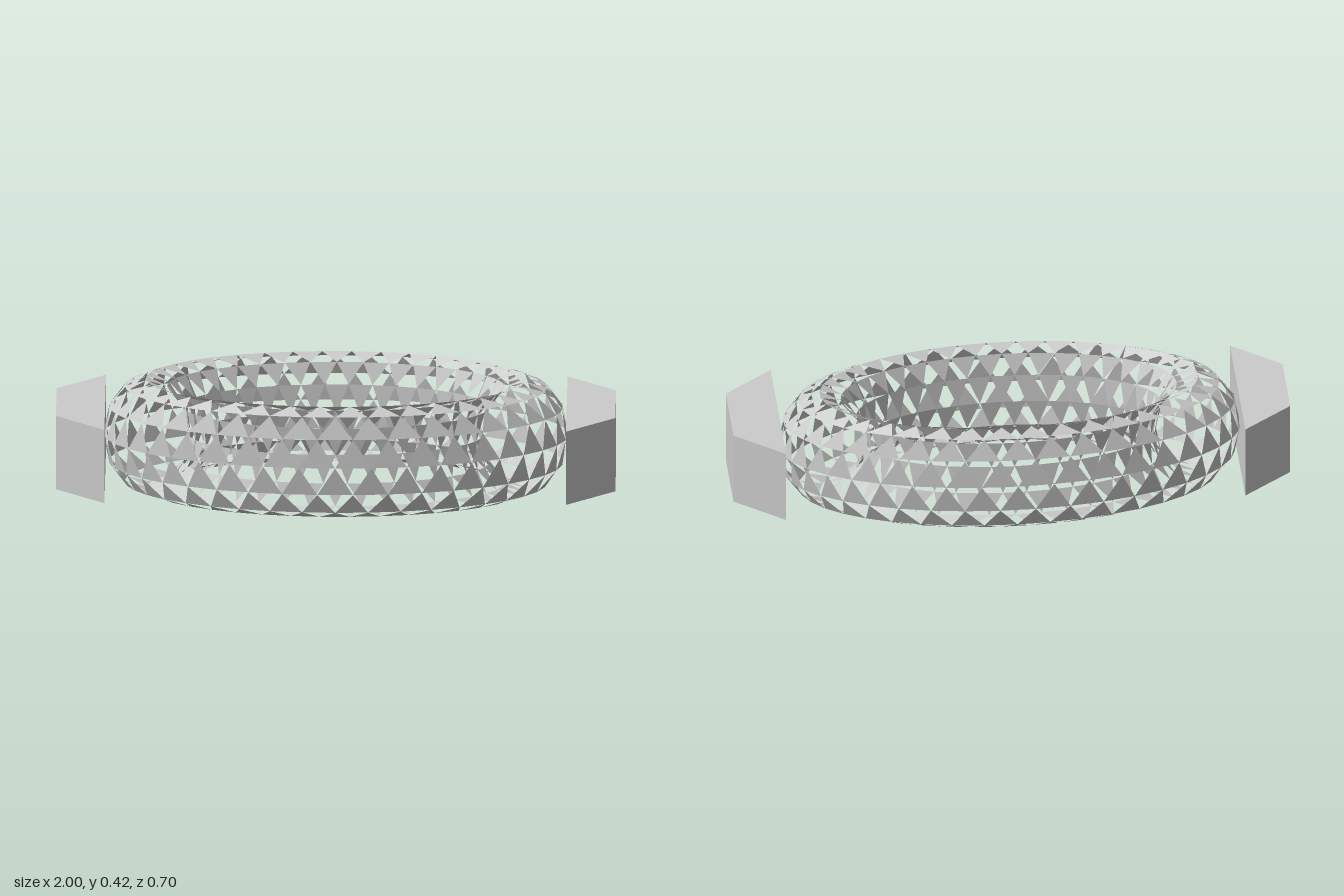
import * as THREE from 'three';

const SIDES = 12, SEGMENTS = 40;
const HALF_HEIGHT = 0.21;
const RING = { x: 0.68, z: 0.283 };   // half axes of the ring's centre line
const TUBE = { x: 0.152, z: 0.068 };  // half thickness of the tube along each axis

// Point on the elliptical ring: i runs round the ring, j round the tube
function ringPoint(i, j) {
  const u = (i / SEGMENTS) * Math.PI * 2;
  const v = (j / SIDES) * Math.PI * 2;
  return [
    (RING.x + TUBE.x * Math.cos(v)) * Math.cos(u),
    HALF_HEIGHT * (1 + Math.sin(v)),
    -(RING.z + TUBE.z * Math.cos(v)) * Math.sin(u),
  ];
}

// Open lattice: rows of upright triangles, each row shifted by half a cell
function latticeRing(material) {
  const positions = [];
  for (let j = 0; j < SIDES; j++) {
    for (let i = 0; i < SEGMENTS; i++) {
      const start = i + j / 2;
      positions.push(...ringPoint(start, j), ...ringPoint(start + 1, j), ...ringPoint(start + 0.5, j + 1));
    }
  }
  const geometry = new THREE.BufferGeometry();
  geometry.setAttribute('position', new THREE.Float32BufferAttribute(positions, 3));
  geometry.computeVertexNormals();
  const mesh = new THREE.Mesh(geometry, material);
  mesh.name = 'latticeRing';
  return mesh;
}

// Tapered end block, wide towards the ring and narrow outside
function endBlock(side, material) {
  const shape = new THREE.Shape([
    new THREE.Vector2(side * 0.825, 0.253),
    new THREE.Vector2(side * 0.825, -0.307),
    new THREE.Vector2(side, -0.167),
    new THREE.Vector2(side, 0.113),
  ]);
  const geometry = new THREE.ExtrudeGeometry(shape, { depth: 0.28, bevelEnabled: false });
  geometry.rotateX(-Math.PI / 2).translate(0, 0.058, 0);
  const mesh = new THREE.Mesh(geometry, material);
  mesh.name = side > 0 ? 'leftEndBlock' : 'rightEndBlock';
  return mesh;
}

export function createModel() {
  const group = new THREE.Group();
  group.name = 'latticeRingWithEndBlocks';
  const solid = new THREE.MeshStandardMaterial({ color: 0xcccccc, flatShading: true });
  const open = new THREE.MeshStandardMaterial({
    color: 0xcccccc, flatShading: true, side: THREE.DoubleSide,
  });
  group.add(latticeRing(open));
  for (const side of [-1, 1]) group.add(endBlock(side, solid));
  return group;
}
